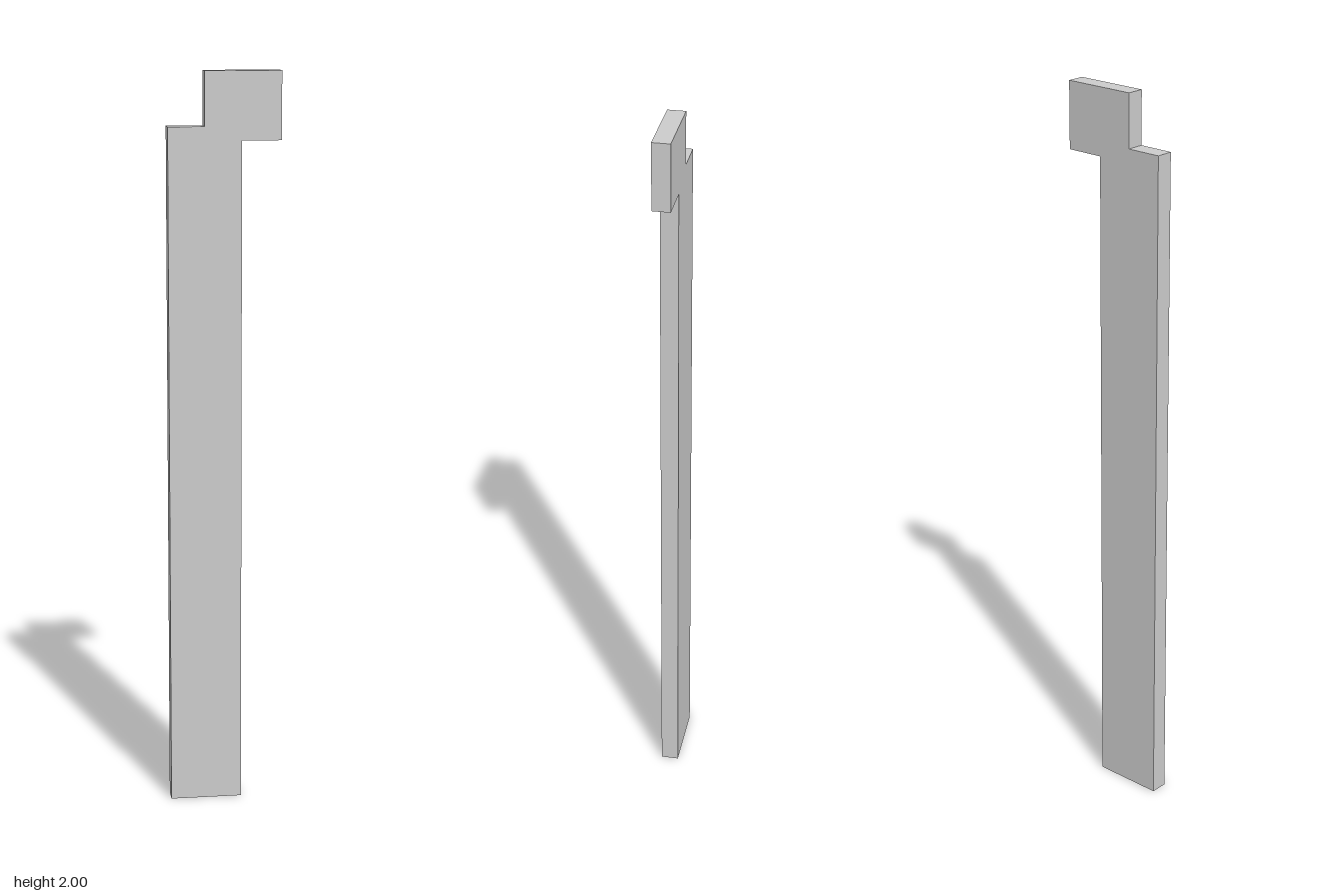
import * as THREE from 'three';

const DEPTH = 0.048;

export function createModel() {
  const group = new THREE.Group();
  group.name = 'notchedPlank';

  // Outline of the long plank with the offset tab at its top
  const outline = new THREE.Shape([
    [-0.15, 0], [0.045, 0], [0.045, 1.82], [0.15, 1.82],
    [0.15, 2], [-0.053, 2], [-0.053, 1.857], [-0.15, 1.857],
  ].map(([x, y]) => new THREE.Vector2(x, y)));

  const geometry = new THREE.ExtrudeGeometry(outline, { depth: DEPTH, bevelEnabled: false });
  geometry.translate(0, 0, -DEPTH / 2);

  const plank = new THREE.Mesh(
    geometry,
    new THREE.MeshStandardMaterial({ color: 0xcccccc, flatShading: true }),
  );
  plank.name = 'plankWithTab';
  group.add(plank);
  return group;
}
